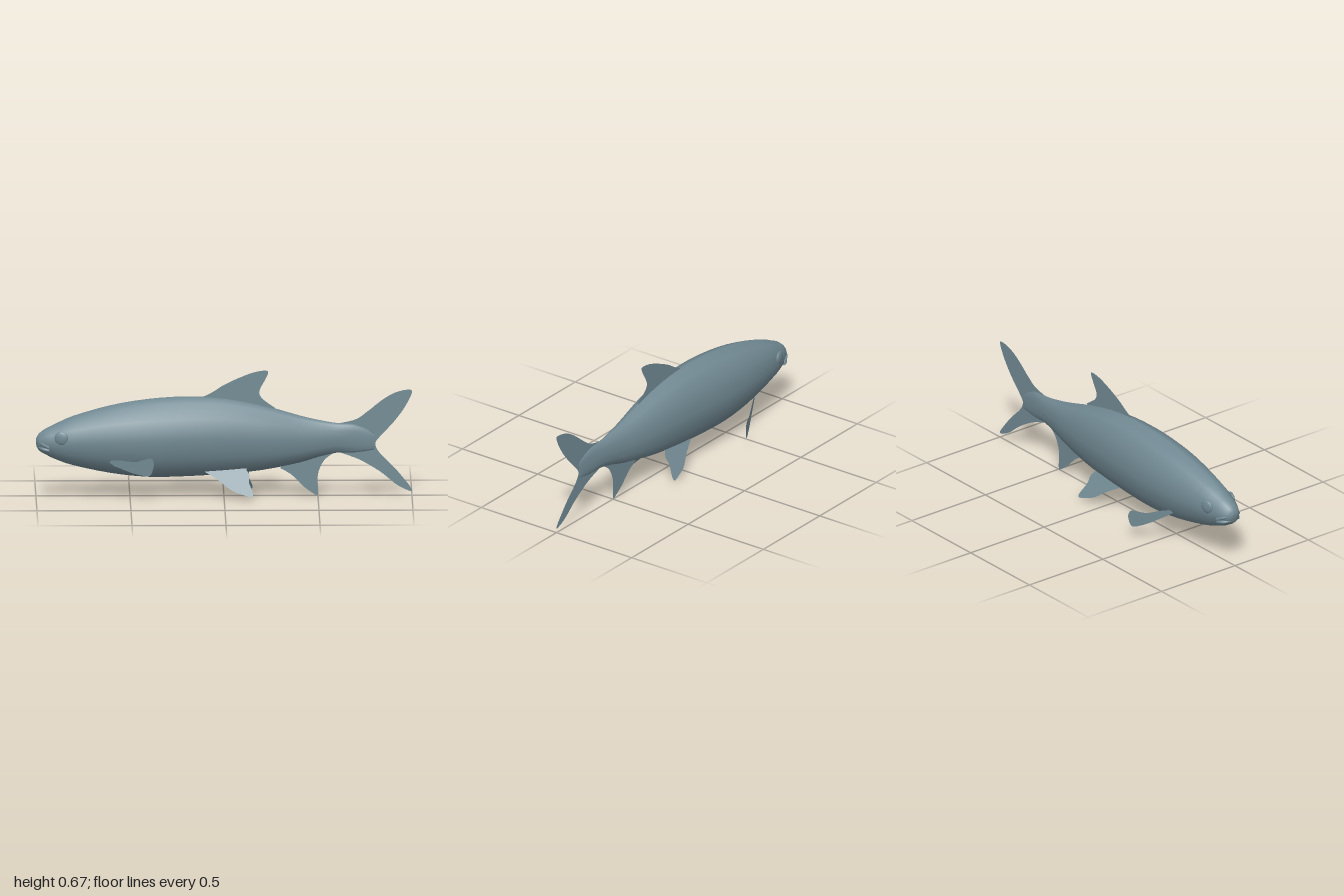
import * as THREE from 'three';

const skin = new THREE.MeshStandardMaterial({ color: 0x728a94, side: THREE.DoubleSide });
skin.name = 'slate grey skin';

// Body stations along the length: x, top y, bottom y, half width
const STATIONS = [
  [-1.0, 0.312, 0.285, 0.016], [-0.985, 0.338, 0.25, 0.042], [-0.95, 0.365, 0.228, 0.062],
  [-0.9, 0.39, 0.203, 0.079], [-0.8, 0.435, 0.168, 0.102], [-0.6, 0.492, 0.126, 0.129],
  [-0.4, 0.525, 0.105, 0.139], [-0.2, 0.538, 0.108, 0.135], [0, 0.53, 0.12, 0.121],
  [0.2, 0.492, 0.14, 0.097], [0.4, 0.435, 0.18, 0.061], [0.5, 0.411, 0.21, 0.043],
  [0.6, 0.393, 0.233, 0.028], [0.7, 0.385, 0.235, 0.016], [0.8, 0.34, 0.25, 0.003],
];
const SIDES = 12;

// Lofted twelve-sided oval body with smooth normals
function bodyGeometry() {
  const curve = (k) => new THREE.CatmullRomCurve3(
    STATIONS.map((s) => new THREE.Vector3(s[0], s[k], s[3])), false, 'catmullrom', 0.5);
  const top = curve(1), bottom = curve(2);
  const rings = 42, pos = [], index = [];
  for (let i = 0; i <= rings; i++) {
    const a = top.getPoint(i / rings), b = bottom.getPoint(i / rings);
    for (let j = 0; j < SIDES; j++) {
      const t = (j / SIDES) * Math.PI * 2;
      pos.push(a.x, (a.y + b.y) / 2 + Math.cos(t) * (a.y - b.y) / 2, Math.sin(t) * a.z);
    }
  }
  for (let i = 0; i < rings; i++) {
    for (let j = 0; j < SIDES; j++) {
      const k = (j + 1) % SIDES;
      const a = i * SIDES + j, b = i * SIDES + k, c = a + SIDES, d = b + SIDES;
      index.push(a, b, c, b, d, c);
    }
  }
  // Close the snout and the tail root
  const last = rings * SIDES;
  for (let j = 1; j < SIDES - 1; j++) {
    index.push(0, j + 1, j, last, last + j, last + j + 1);
  }
  const g = new THREE.BufferGeometry();
  g.setAttribute('position', new THREE.Float32BufferAttribute(pos, 3));
  g.setIndex(index);
  g.computeVertexNormals();
  return g;
}

// Thin fin from a smooth outline; place(x, y) returns the bent [y, z]
function fin(name, root, edge, place = (x, y) => [y, 0]) {
  const shape = new THREE.Shape();
  shape.moveTo(...root[0]);
  root.slice(1).concat([edge[0]]).forEach((p) => shape.lineTo(...p));
  shape.splineThru(edge.slice(1).map((p) => new THREE.Vector2(...p)));
  const g = new THREE.ShapeGeometry(shape, 3);
  const p = g.attributes.position;
  for (let i = 0; i < p.count; i++) {
    const [y, z] = place(p.getX(i), p.getY(i));
    p.setY(i, y);
    p.setZ(i, z);
  }
  g.computeVertexNormals();
  const mesh = new THREE.Mesh(g, skin);
  mesh.name = name;
  return mesh;
}

// Rounded lip running around the snout
function lip(name, points, radius) {
  const path = new THREE.CatmullRomCurve3(points.map((p) => new THREE.Vector3(...p)));
  const mesh = new THREE.Mesh(new THREE.TubeGeometry(path, 20, radius, 6), skin);
  mesh.name = name;
  return mesh;
}

export function createModel() {
  const fish = new THREE.Group();
  fish.name = 'fish';

  const body = new THREE.Mesh(bodyGeometry(), skin);
  body.name = 'body';
  fish.add(body);

  // Mouth
  fish.add(lip('upperLip', [[-0.93, 0.272, -0.066], [-0.965, 0.288, -0.052], [-0.99, 0.302, 0],
    [-0.965, 0.288, 0.052], [-0.93, 0.272, 0.066]], 0.009));
  fish.add(lip('lowerLip', [[-0.93, 0.256, -0.064], [-0.965, 0.262, -0.05], [-0.988, 0.272, 0],
    [-0.965, 0.262, 0.05], [-0.93, 0.256, 0.064]], 0.009));

  // Fins on the centre line
  fish.add(fin('dorsalFin', [[0.26, 0.46], [-0.1, 0.5]],
    [[-0.11, 0.537], [-0.06, 0.562], [0, 0.6], [0.08, 0.638], [0.16, 0.668], [0.22, 0.677], [0.236, 0.665],
      [0.215, 0.62], [0.188, 0.565], [0.205, 0.525], [0.27, 0.478]], (x, y) => [y, 0.008]));
  fish.add(fin('analFin', [[0.58, 0.26], [0.32, 0.2]],
    [[0.3, 0.15], [0.36, 0.115], [0.42, 0.055], [0.47, 0.018], [0.497, 0.004], [0.5, 0.04], [0.498, 0.1],
      [0.51, 0.15], [0.54, 0.2], [0.59, 0.235]]));
  fish.add(fin('tailFin', [[0.62, 0.25], [0.62, 0.38]],
    [[0.62, 0.393], [0.7, 0.412], [0.76, 0.452], [0.85, 0.523], [0.92, 0.56], [0.985, 0.572], [1, 0.555],
      [0.96, 0.475], [0.9, 0.395], [0.83, 0.32], [0.805, 0.28], [0.83, 0.23], [0.9, 0.16], [0.96, 0.09],
      [1, 0.035], [0.985, 0.028], [0.92, 0.06], [0.84, 0.125], [0.76, 0.175], [0.7, 0.205], [0.62, 0.233]]));

  // Paired parts: s is +1 for the left side, -1 for the right
  for (const s of [1, -1]) {
    const side = s > 0 ? 'left' : 'right';

    // The right pectoral fin hangs a little lower at its tip
    fish.add(fin(side + 'PectoralFin', [[-0.58, 0.18], [-0.61, 0.2]],
      [[-0.6, 0.212], [-0.54, 0.215], [-0.47, 0.213], [-0.41, 0.235], [-0.385, 0.235], [-0.375, 0.205],
        [-0.393, 0.147], [-0.44, 0.143], [-0.5, 0.155], [-0.57, 0.178]],
      (x, y) => {
        const z = 0.13 + (x + 0.57) * 0.5;
        return [s > 0 ? y : y - Math.max(0, z - 0.12) * 0.75, s * z];
      }));

    fish.add(fin(side + 'PelvicFin', [[0.12, 0.16], [-0.1, 0.16]],
      [[-0.1, 0.14], [-0.03, 0.1], [0.04, 0.05], [0.1, 0.028], [0.148, 0.017], [0.152, 0.04], [0.132, 0.09],
        [0.135, 0.125], [0.12, 0.15]],
      (x, y) => [y, s * (0.065 + (0.145 - y) * 0.64)]));

    // Low bulging eye
    const eye = new THREE.Mesh(new THREE.SphereGeometry(1, 16, 10), skin);
    eye.name = side + 'Eye';
    eye.scale.set(0.037, 0.037, 0.012);
    eye.position.set(-0.865, 0.325, s * 0.083);
    eye.rotation.y = -s * 0.22;
    fish.add(eye);
  }
  return fish;
}
